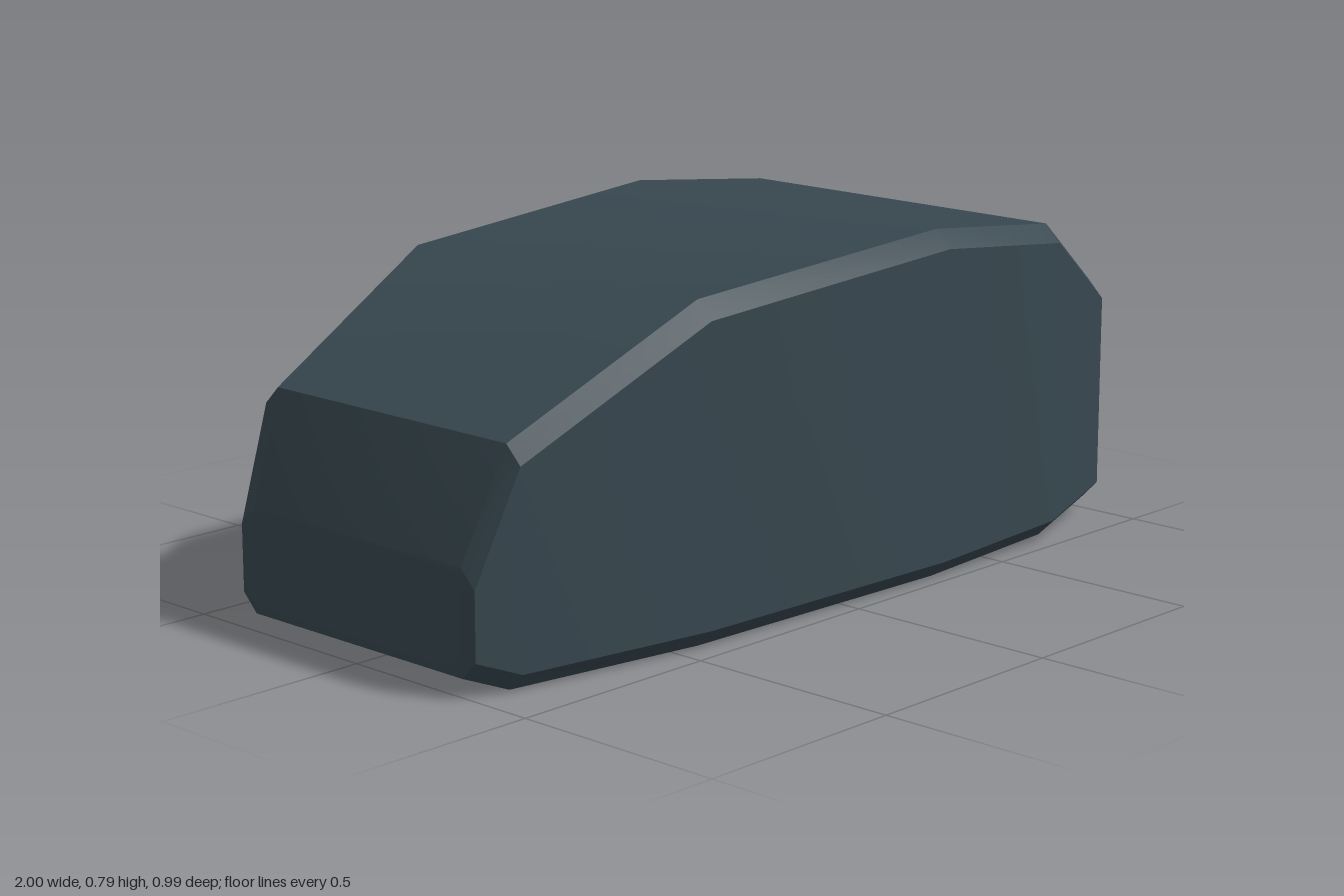
import * as THREE from 'three';
import { toCreasedNormals } from 'three/addons/utils/BufferGeometryUtils.js';

// Cross-sections along x: [x, bottom, top, half width]
const SECTIONS = [
  [-1, 0.04, 0.27, 0.36],
  [-0.9, 0, 0.51, 0.39],
  [-0.43, 0, 0.74, 0.465],
  [0.3, 0, 0.79, 0.493],
  [0.71, 0.01, 0.745, 0.48],
  [1, 0.03, 0.56, 0.39],
];
const BEVEL = 0.04;

// Rectangle with cut corners, counter-clockwise seen from +x
function ring([x, bottom, top, w]) {
  const c = BEVEL;
  return [
    [top, -w + c], [top, w - c], [top - c, w], [bottom + c, w],
    [bottom, w - c], [bottom, -w + c], [bottom + c, -w], [top - c, -w],
  ].map(([y, z]) => [x, y, z]);
}

function loft(sections) {
  const n = 8;
  const last = (sections.length - 1) * n;
  const index = [];
  // Skin between neighbouring rings
  for (let i = 0; i < last; i += n) {
    for (let j = 0; j < n; j++) {
      const k = (j + 1) % n;
      index.push(i + j, i + k, i + n + k, i + j, i + n + k, i + n + j);
    }
  }
  // Flat end caps
  for (let j = 1; j < n - 1; j++) {
    index.push(0, j + 1, j, last, last + j, last + j + 1);
  }
  const geometry = new THREE.BufferGeometry();
  geometry.setAttribute('position', new THREE.Float32BufferAttribute(sections.flatMap(ring).flat(), 3));
  geometry.setIndex(index);
  return toCreasedNormals(geometry, 0.42);
}

export function createModel() {
  const slate = new THREE.MeshStandardMaterial({ color: 0x37474f });
  slate.name = 'dark slate';

  const body = new THREE.Mesh(loft(SECTIONS), slate);
  body.name = 'bevelledBody';

  const model = new THREE.Group();
  model.name = 'bevelledBlock';
  model.add(body);
  return model;
}
